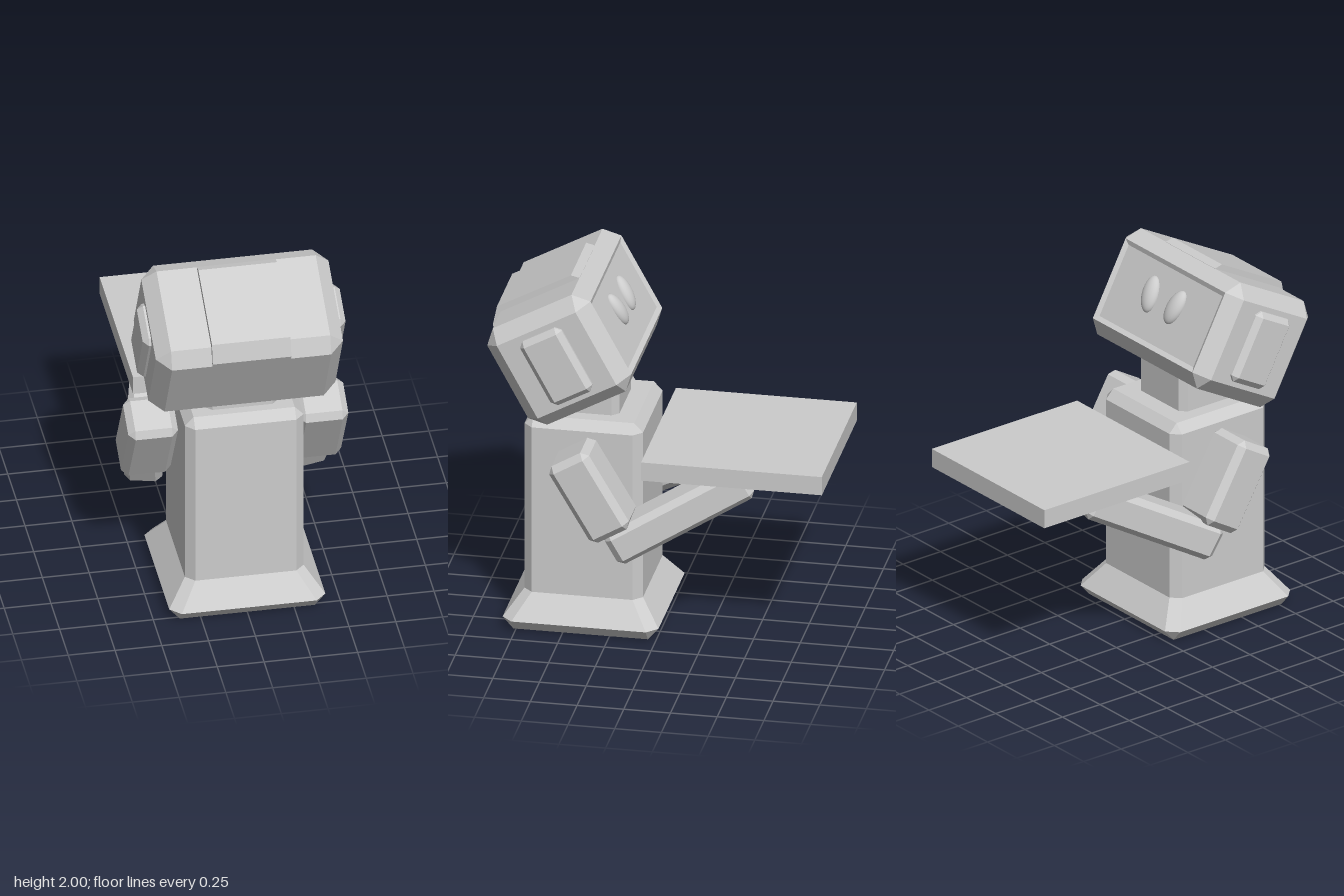
import * as THREE from 'three';

// Lofts eight-sided rings [y, halfX, halfZ, cornerCut] into a faceted solid
function loft(rings) {
  const pts = rings.map(([y, a, b, c]) => [
    [a, b - c], [a, c - b], [a - c, -b], [c - a, -b],
    [-a, c - b], [-a, b - c], [c - a, b], [a - c, b],
  ].map(([x, z]) => new THREE.Vector3(x, y, z)));
  const out = [];
  const tri = (p, q, r) => {
    const n = q.clone().sub(p).cross(r.clone().sub(p));
    if (n.length() > 1e-9) out.push(...p.toArray(), ...q.toArray(), ...r.toArray());
  };
  for (let k = 0; k + 1 < pts.length; k++) {
    for (let i = 0; i < 8; i++) {
      const j = (i + 1) % 8;
      tri(pts[k][i], pts[k][j], pts[k + 1][j]);
      tri(pts[k][i], pts[k + 1][j], pts[k + 1][i]);
    }
  }
  const lo = pts[0], hi = pts[pts.length - 1];
  for (let i = 1; i < 7; i++) {
    tri(hi[0], hi[i], hi[i + 1]);
    tri(lo[0], lo[i + 1], lo[i]);
  }
  const g = new THREE.BufferGeometry();
  g.setAttribute('position', new THREE.Float32BufferAttribute(out, 3));
  g.computeVertexNormals();
  return g;
}

// Rings of a box with all edges chamfered by c
const boxRings = (a, h, b, c) => [
  [-h, a - c, b - c, 0], [c - h, a, b, c], [h - c, a, b, c], [h, a - c, b - c, 0],
];

export function createModel() {
  const model = new THREE.Group();
  model.name = 'trayRobot';
  const grey = new THREE.MeshStandardMaterial({ color: 0xcccccc });
  grey.name = 'light grey';

  const add = (parent, name, geometry, x = 0, y = 0, z = 0) => {
    const m = new THREE.Mesh(geometry, grey);
    m.name = name;
    m.position.set(x, y, z);
    parent.add(m);
    return m;
  };

  // Flared base running up into the square body
  add(model, 'bodyAndBase', loft([
    [0, 0.36, 0.36, 0], [0.065, 0.417, 0.417, 0.057], [0.2, 0.317, 0.317, 0.047],
    [1.15, 0.317, 0.317, 0.047], [1.2, 0.27, 0.27, 0],
  ]), 0, 0, 0.405);

  // Neck
  add(model, 'neck', loft([[1.17, 0.195, 0.195, 0.035], [1.5, 0.195, 0.195, 0.035]]), 0, 0, 0.43);

  // Head, tilted to look up towards -z
  const head = new THREE.Group();
  head.name = 'head';
  head.position.set(0, 1.604, 0.506);
  head.rotation.x = 0.5;
  model.add(head);

  // Head block with a shallow sunken face
  const shell = add(head, 'headShell', loft([
    ...boxRings(0.5, 0.315, 0.303, 0.075), [0.3, 0.4, 0.203, 0],
  ]));
  shell.rotation.x = -Math.PI / 2;

  // Raised band over the top and rear edge of the head
  const profile = new THREE.Shape([
    [-0.242, 0.303], [-0.206, 0.335], [0.244, 0.337], [0.316, 0.252],
    [0.316, 0.228], [0.2, 0.2], [-0.2, 0.2],
  ].map(([z, y]) => new THREE.Vector2(z, y)));
  const band = new THREE.ExtrudeGeometry(profile, { depth: 0.42, bevelEnabled: false });
  band.rotateY(-Math.PI / 2).translate(0.21, 0, 0);
  add(head, 'topBand', band);

  // Tray
  add(model, 'tray', new THREE.BoxGeometry(0.96, 0.105, 0.968), 0, 1.022, -0.426);

  for (const s of [1, -1]) {
    const side = s > 0 ? 'left' : 'right';

    // Ear pad
    add(head, side + 'Ear', loft(boxRings(0.1, 0.2, 0.127, 0.03)), s * 0.442, 0, 0);

    // Oval eye leaning outward
    const eye = add(head, side + 'Eye', new THREE.SphereGeometry(1, 24, 16), s * 0.105, 0.03, -0.3);
    eye.scale.set(0.055, 0.1, 0.04);
    eye.rotation.z = -s * 0.2;

    // Upper arm
    const upper = add(model, side + 'UpperArm',
      loft(boxRings(0.133, 0.244, 0.124, 0.035)), s * 0.455, 0.88, 0.322);
    upper.rotation.x = 0.534;

    // Forearm reaching up and inward beneath the tray
    const fore = add(model, side + 'Forearm',
      loft(boxRings(0.1, 0.41, 0.1, 0.033)).rotateX(-Math.PI / 2), s * 0.37, 0.762, -0.123);
    fore.rotation.set(0.494, s * 0.255, 0, 'YXZ');
  }
  return model;
}
